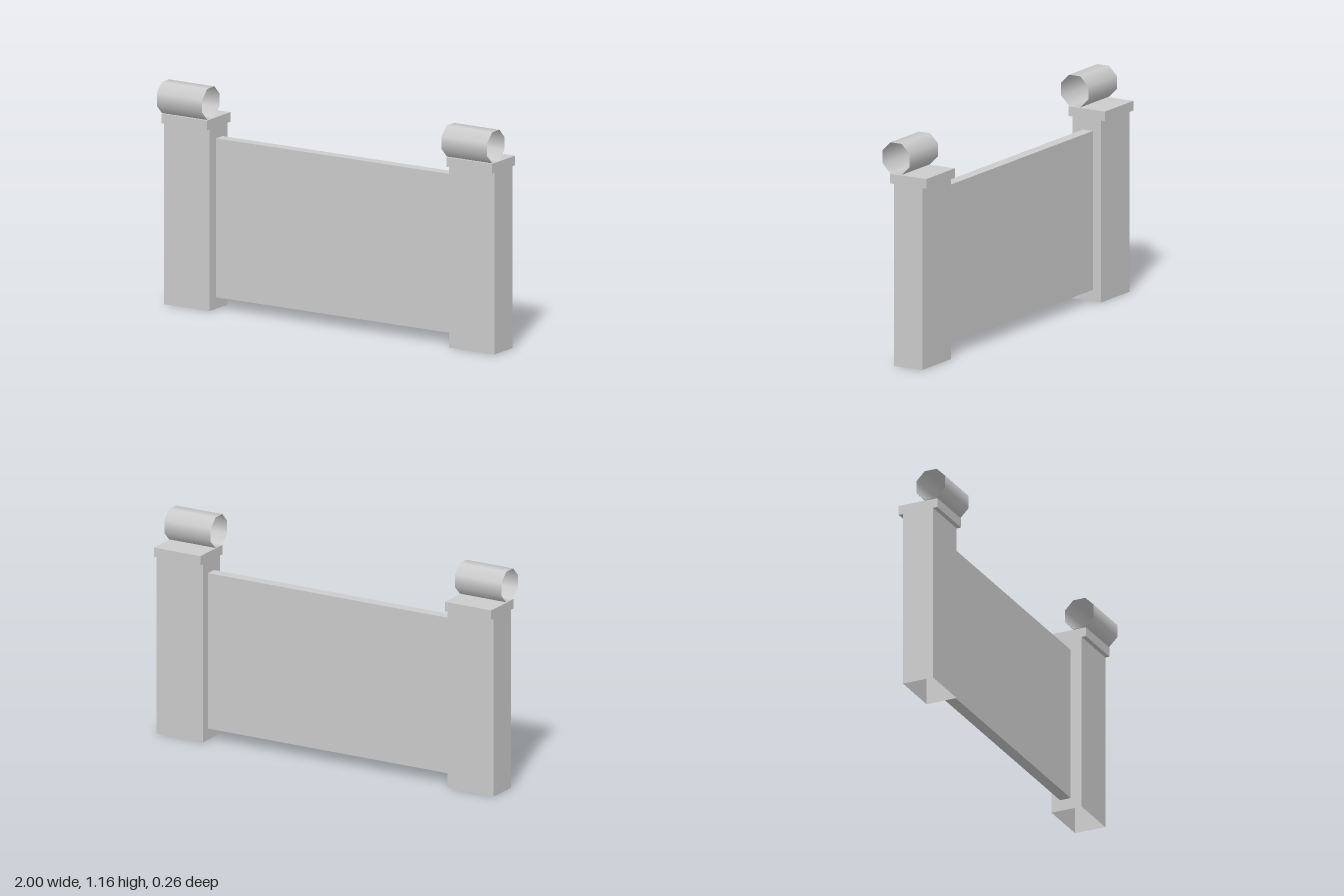
import * as THREE from 'three';

const grey = new THREE.MeshStandardMaterial({ color: 0xcccccc });
const greyBoth = new THREE.MeshStandardMaterial({ color: 0xcccccc, side: THREE.DoubleSide });

// Box given by its lower and upper corners
function box(name, [x0, y0, z0], [x1, y1, z1], material = grey) {
  const geometry = new THREE.BoxGeometry(x1 - x0, y1 - y0, z1 - z0);
  geometry.translate((x0 + x1) / 2, (y0 + y1) / 2, (z0 + z1) / 2);
  const mesh = new THREE.Mesh(geometry, material);
  mesh.name = name;
  return mesh;
}

// Leave out the downward face of a box (fourth face, six indices)
function openBottom(mesh) {
  const index = Array.from(mesh.geometry.index.array);
  index.splice(18, 6);
  mesh.geometry.setIndex(index);
  mesh.geometry.clearGroups();
  return mesh;
}

export function createModel() {
  const group = new THREE.Group();
  group.name = 'panelWithPosts';
  const inner = 0.725, outer = 1;

  // Flat panel between the posts
  group.add(box('panel', [-inner, 0.06, -0.06], [inner, 0.89, 0]));

  for (const side of [1, -1]) {
    const label = side > 0 ? 'left' : 'right';
    const x0 = side > 0 ? inner : -outer;
    const x1 = side > 0 ? outer : -inner;

    // Hollow post, open underneath
    group.add(openBottom(box(label + 'Post', [x0, 0, -0.108], [x1, 0.95, 0.062], greyBoth)));

    // Cap overhanging to the front and back
    group.add(box(label + 'Cap', [x0, 0.95, -0.132], [x1, 1, 0.086]));

    // Open eight-sided tube lying on the cap
    const radius = 0.081 / Math.cos(Math.PI / 8);
    const geometry = new THREE.CylinderGeometry(radius, radius, x1 - x0, 8, 1, true, Math.PI / 8);
    geometry.rotateZ(Math.PI / 2);
    const tube = new THREE.Mesh(geometry, greyBoth);
    tube.name = label + 'Tube';
    tube.position.set((x0 + x1) / 2, 1.084, 0.049);
    group.add(tube);
  }
  return group;
}
